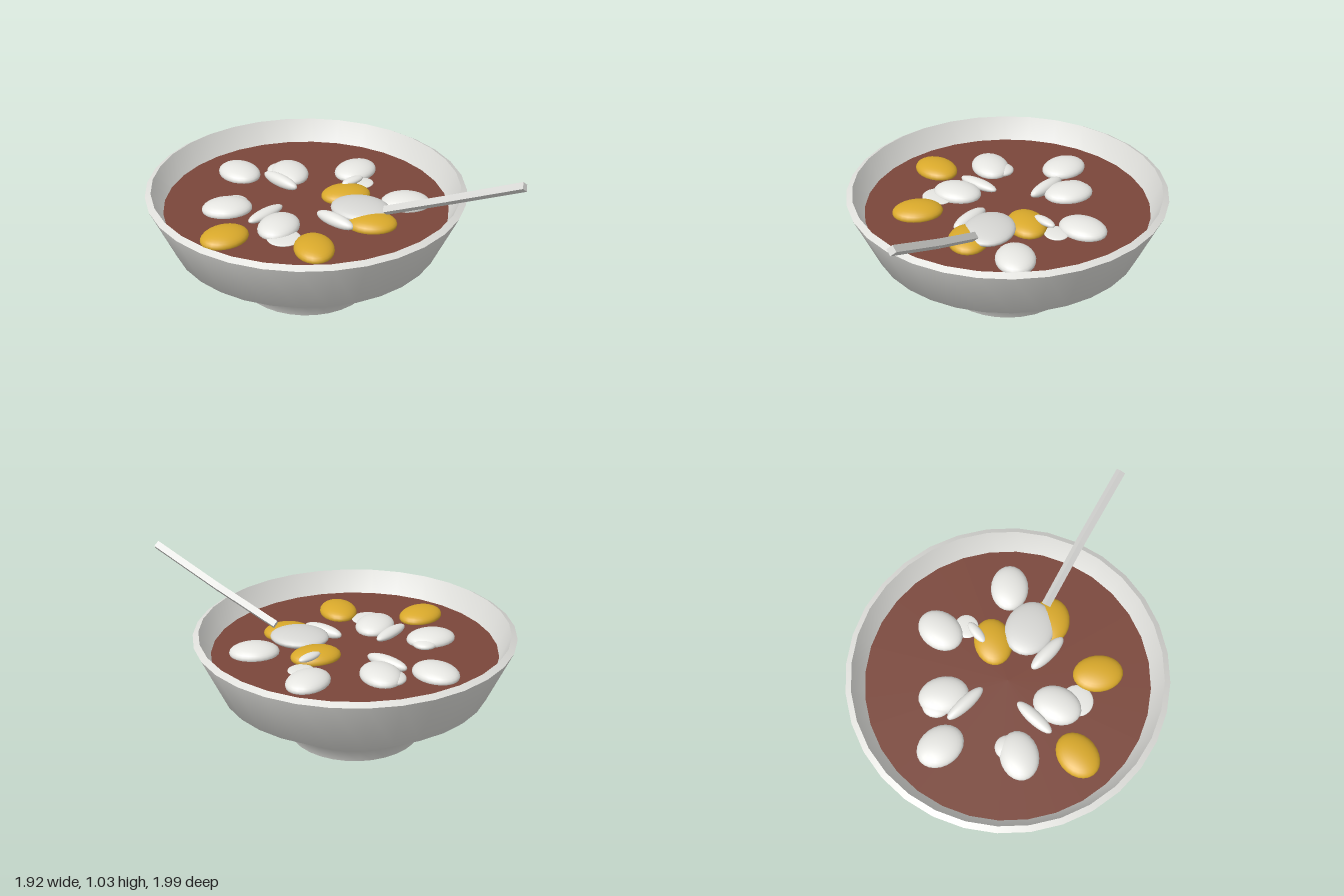
import * as THREE from 'three';

const mat = (name, color, side = THREE.FrontSide) => {
  const m = new THREE.MeshStandardMaterial({ color, side });
  m.name = name;
  return m;
};

export function createModel() {
  const ceramic = mat('ceramic white', 0xdededa);
  const brothRed = mat('broth red brown', 0x7a463a);
  const beanWhite = mat('bean white', 0xe6e6e2);
  const beanYellow = mat('bean yellow', 0xd9a92b);
  const metal = mat('spoon grey', 0xd6d6d3);

  const model = new THREE.Group();
  const add = (parent, name, geometry, material, x = 0, y = 0, z = 0) => {
    const mesh = new THREE.Mesh(geometry, material);
    mesh.name = name;
    mesh.position.set(x, y, z);
    parent.add(mesh);
    return mesh;
  };

  // Bowl: separate lathes keep the rim edges sharp
  const bowl = new THREE.Group();
  bowl.name = 'bowl';
  bowl.position.z = -0.04;
  model.add(bowl);
  const lathe = (points) =>
    new THREE.LatheGeometry(points.map(([r, y]) => new THREE.Vector2(r, y)), 32);
  add(bowl, 'outerWall', lathe([[0.405, 0], [0.445, 0.09], [0.81, 0.33], [0.96, 0.66]]), ceramic);
  add(bowl, 'rim', lathe([[0.96, 0.66], [0.925, 0.68]]), ceramic);
  add(bowl, 'innerWall', lathe([[0.925, 0.68], [0.77, 0.35], [0.42, 0.12], [0, 0.1]]), ceramic);
  const base = add(bowl, 'base', new THREE.CircleGeometry(0.405, 32), ceramic);
  base.rotation.x = Math.PI / 2;
  const broth = add(bowl, 'broth', new THREE.CircleGeometry(0.86, 32), brothRed, 0, 0.54, 0);
  broth.rotation.x = -Math.PI / 2;

  // Floating pieces: x, y, z, half length, half height, half width, turn in degrees
  const ball = new THREE.SphereGeometry(1, 24, 16);
  const piece = (parent, name, material, [x, y, z, a, h, b, turn]) => {
    const mesh = add(parent, name, ball, material, x, y, z);
    mesh.scale.set(a, h, b);
    mesh.rotation.y = THREE.MathUtils.degToRad(turn);
  };

  const whiteBeans = [
    [-0.265, 0.55, -0.55, 0.15, 0.055, 0.12, -70],
    [0.03, 0.55, -0.435, 0.152, 0.055, 0.118, 85],
    [0.435, 0.55, -0.325, 0.15, 0.055, 0.118, 30],
    [-0.47, 0.55, -0.13, 0.152, 0.055, 0.116, -8],
    [-0.25, 0.55, 0.185, 0.15, 0.055, 0.118, 45],
    [0.565, 0.55, 0.165, 0.15, 0.055, 0.116, -20],
  ];
  whiteBeans.forEach((p) => piece(model, 'whiteBean', beanWhite, p));

  const yellowBeans = [
    [-0.58, 0.55, 0.195, 0.15, 0.055, 0.118, 18],
    [-0.14, 0.55, 0.485, 0.152, 0.055, 0.116, 78],
    [0.26, 0.55, -0.045, 0.152, 0.055, 0.116, -8],
    [0.275, 0.55, 0.33, 0.15, 0.055, 0.118, -25],
  ];
  yellowBeans.forEach((p) => piece(model, 'yellowBean', beanYellow, p));

  // Narrow slivers lying on the broth
  const slivers = [
    [-0.065, 0.565, -0.33, 0.142, 0.04, 0.042, -65],
    [-0.28, 0.56, 0.03, 0.138, 0.03, 0.042, 27],
    [0.08, 0.56, 0.24, 0.138, 0.04, 0.045, -62],
    [0.335, 0.595, -0.125, 0.08, 0.022, 0.032, 18],
  ];
  slivers.forEach((p) => piece(model, 'sliver', beanWhite, p));

  // Flat slices just above the broth
  const slices = [
    [-0.26, 0.545, 0.31, 0.1, 0.012, 0.095, 0],
    [0.41, 0.545, -0.165, 0.078, 0.012, 0.072, 0],
    [-0.4, 0.55, -0.18, 0.075, 0.03, 0.075, 0],
    [-0.01, 0.55, -0.49, 0.085, 0.03, 0.09, 0],
  ];
  slices.forEach((p) => piece(model, 'slice', beanWhite, p));

  // Spoon: shallow head and a bent four-sided handle
  const spoon = new THREE.Group();
  spoon.name = 'spoon';
  model.add(spoon);
  piece(spoon, 'spoonHead', metal, [0.26, 0.578, 0.19, 0.18, 0.045, 0.15, -40]);
  const path = [[0.36, 0.62, 0.33], [0.61, 0.8, 0.635], [0.875, 1.005, 0.975]]
    .map((p) => new THREE.Vector3(...p));
  for (let i = 0; i < 2; i++) {
    const rod = new THREE.CylinderGeometry(0.029, 0.029, path[i].distanceTo(path[i + 1]) + 0.005, 4)
      .toNonIndexed();
    rod.rotateX(Math.PI / 2);
    rod.computeVertexNormals();
    const mid = path[i].clone().lerp(path[i + 1], 0.5);
    add(spoon, 'spoonHandle', rod, metal, mid.x, mid.y, mid.z).lookAt(path[i + 1]);
  }
  return model;
}
